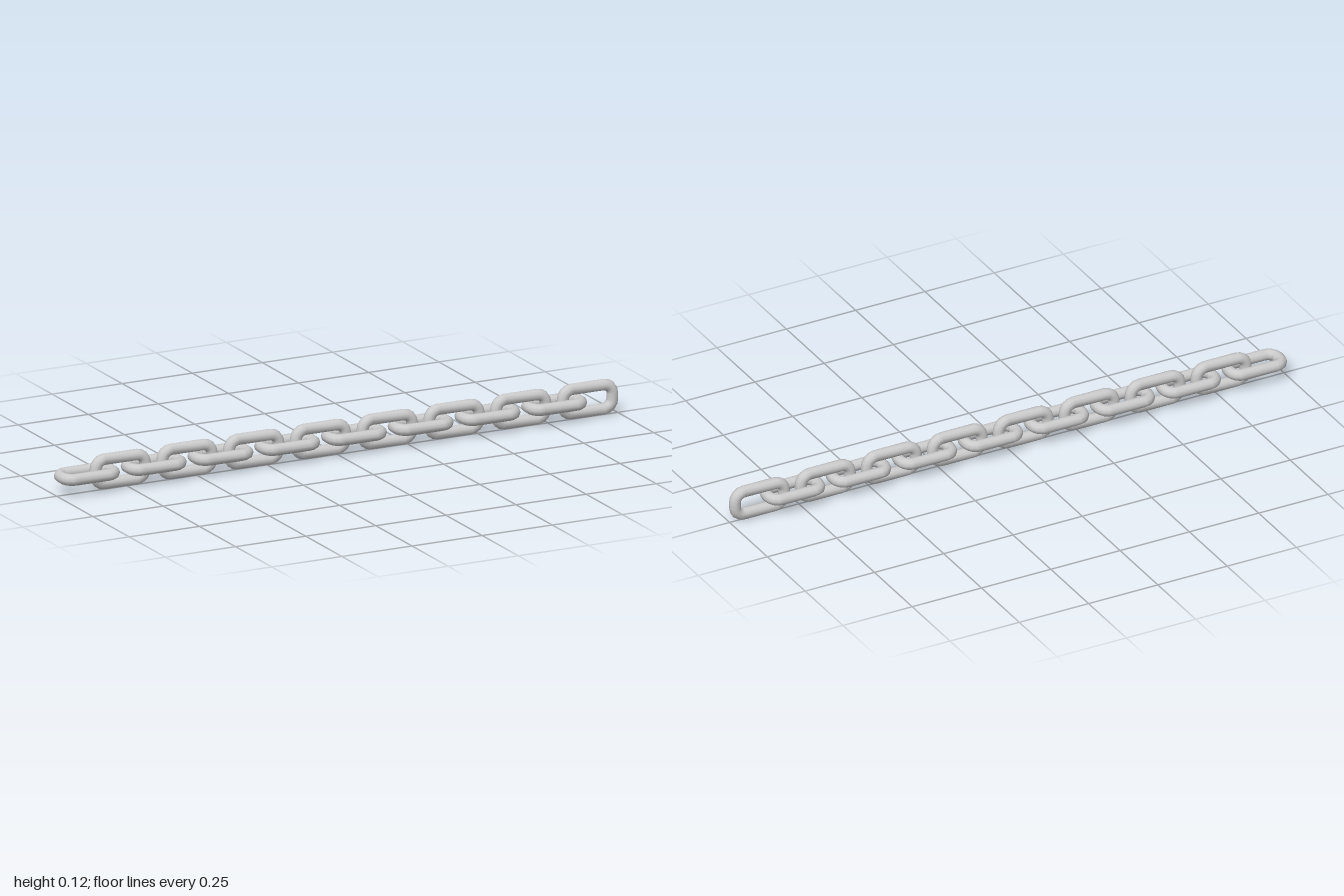
import * as THREE from 'three';

const LINKS = 16, SIDES = 10, CORNER_STEPS = 4;
const WIRE = 0.019;                  // wire radius
const HALF_L = 0.1075, HALF_W = 0.059; // outer half length and half width of a link
const BEND = 0.031;                  // bend radius of the wire's centre line

// Closed round wire following a rounded rectangle in the XY plane
function linkGeometry() {
  const cx = HALF_L - WIRE - BEND, cy = HALF_W - WIRE - BEND;
  const rings = [];
  [[1, 1], [-1, 1], [-1, -1], [1, -1]].forEach(([sx, sy], q) => {
    for (let i = 0; i <= CORNER_STEPS; i++) {
      rings.push({ x: sx * cx, y: sy * cy, a: (q + i / CORNER_STEPS) * Math.PI / 2 });
    }
  });
  const pos = [], index = [];
  rings.forEach(({ x, y, a }, r) => {
    const next = (r + 1) % rings.length;
    for (let j = 0; j < SIDES; j++) {
      const t = j / SIDES * Math.PI * 2, k = (j + 1) % SIDES;
      const d = BEND + WIRE * Math.cos(t);
      pos.push(x + d * Math.cos(a), y + d * Math.sin(a), WIRE * Math.sin(t));
      const p = r * SIDES + j, p2 = r * SIDES + k;
      const n = next * SIDES + j, n2 = next * SIDES + k;
      index.push(p, n, p2, n, n2, p2);
    }
  });
  const g = new THREE.BufferGeometry();
  g.setAttribute('position', new THREE.Float32BufferAttribute(pos, 3));
  g.setIndex(index);
  g.computeVertexNormals();
  return g;
}

export function createModel() {
  const chain = new THREE.Group();
  chain.name = 'chain';
  const geometry = linkGeometry();
  const material = new THREE.MeshStandardMaterial({ color: 0xcccccc });
  const pitch = (2 - 2 * HALF_L) / (LINKS - 1);

  // Links alternate between lying flat and standing upright
  for (let i = 0; i < LINKS; i++) {
    const flat = i % 2 === 0;
    const link = new THREE.Mesh(geometry, material);
    link.name = (flat ? 'flatLink' : 'uprightLink') + (Math.floor(i / 2) + 1);
    link.position.set(-1 + HALF_L + i * pitch, HALF_W, 0);
    if (flat) link.rotation.x = Math.PI / 2;
    chain.add(link);
  }
  return chain;
}
